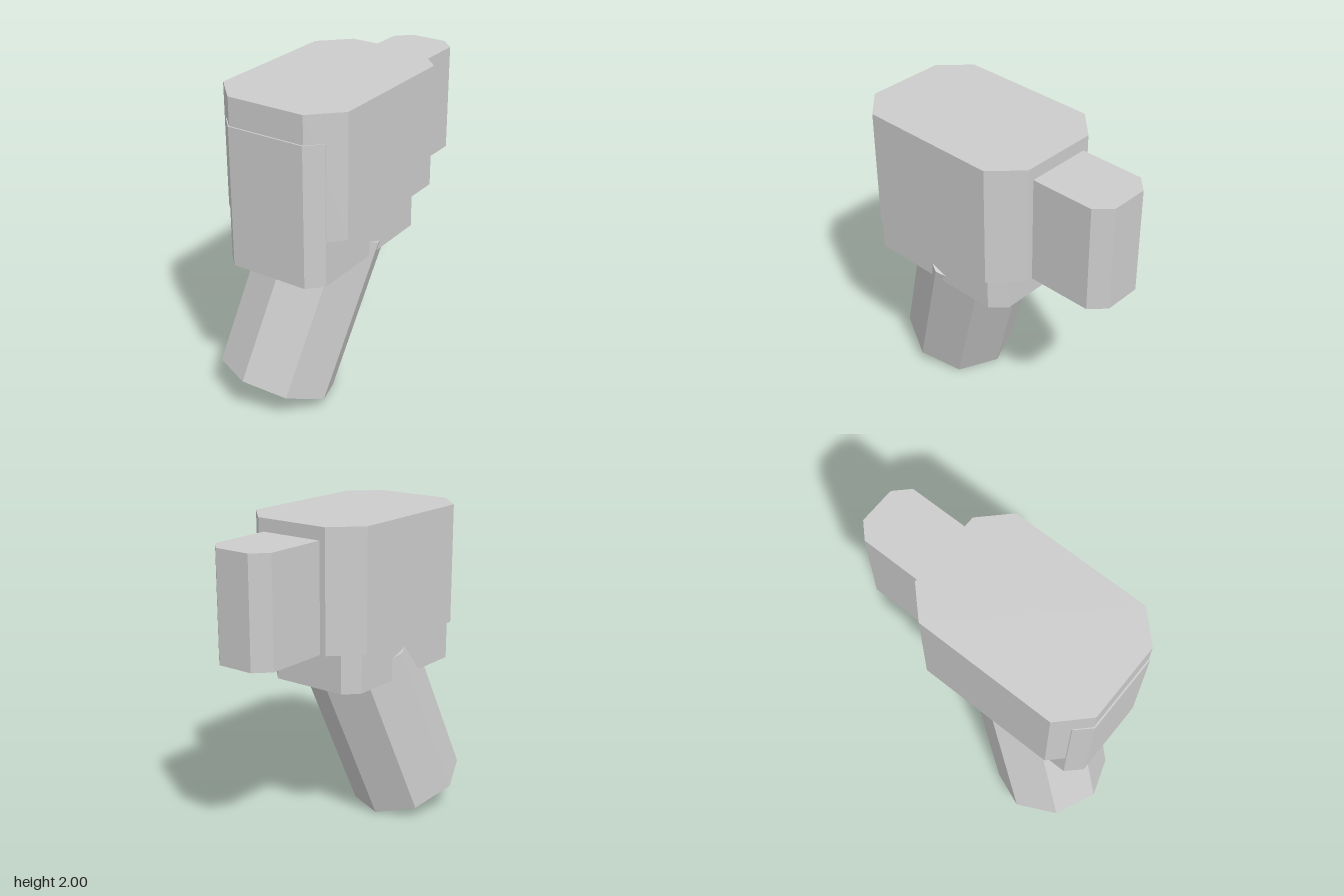
import * as THREE from 'three';

const grey = new THREE.MeshStandardMaterial({ color: 0xcccccc });
grey.name = 'plain grey';

// Upright block with its four vertical edges cut off
function chamferedBlock(name, [x0, x1], [y0, y1], [z0, z1], cx, cz) {
  const outline = [
    [x0 + cx, z1], [x1 - cx, z1], [x1, z1 - cz], [x1, z0 + cz],
    [x1 - cx, z0], [x0 + cx, z0], [x0, z0 + cz], [x0, z1 - cz],
  ].map(([x, z]) => new THREE.Vector2(x, -z));
  const geometry = new THREE.ExtrudeGeometry(new THREE.Shape(outline), {
    depth: y1 - y0, bevelEnabled: false,
  });
  geometry.rotateX(-Math.PI / 2).translate(0, y0, 0);
  const mesh = new THREE.Mesh(geometry, grey);
  mesh.name = name;
  return mesh;
}

// Eight-sided post between two points; corner is the direction of one vertex
function octagonalPost(name, bottom, top, radius, corner) {
  const axis = top.clone().sub(bottom);
  const length = axis.length();
  const yAxis = axis.normalize();
  const xAxis = new THREE.Vector3().crossVectors(yAxis, corner).normalize();
  const zAxis = new THREE.Vector3().crossVectors(xAxis, yAxis);
  const geometry = new THREE.CylinderGeometry(radius, radius, length, 8).toNonIndexed();
  geometry.computeVertexNormals();
  geometry.applyMatrix4(new THREE.Matrix4().makeBasis(xAxis, yAxis, zAxis));
  const mesh = new THREE.Mesh(geometry, grey);
  mesh.position.copy(bottom).add(top).multiplyScalar(0.5);
  mesh.name = name;
  return mesh;
}

export function createModel() {
  const model = new THREE.Group();
  model.name = 'blockModel';
  model.add(
    chamferedBlock('mainBody', [-0.37, 0.465], [1.25, 2], [-0.412, 0.815], 0.17, 0.17),
    // Narrower block inside the body, showing below it and just in front
    chamferedBlock('lowerBlock', [-0.285, 0.38], [0.975, 1.83], [-0.265, 0.825], 0.085, 0.088),
    chamferedBlock('rearBlock', [-0.16, 0.255], [1.25, 1.92], [-0.907, -0.2], 0.09, 0.09),
    // Post leaning forward and to one side
    octagonalPost('slantedPost',
      new THREE.Vector3(-0.11, 0.126, 0.563), new THREE.Vector3(0.046, 1.091, 0.217),
      0.364, new THREE.Vector3(0.36, -0.052, 0.022)),
  );
  return model;
}
